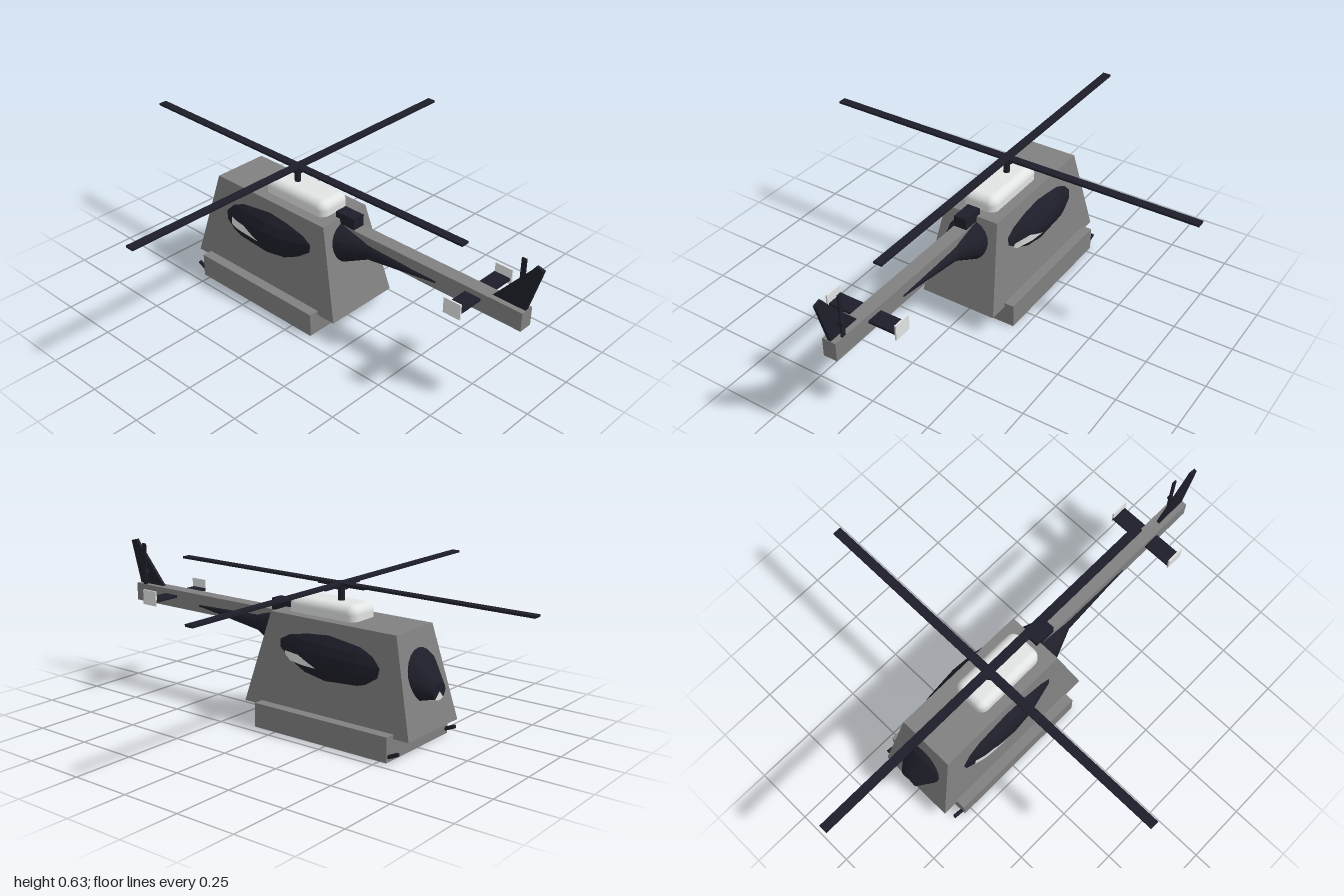
import * as THREE from 'three';
import { RoundedBoxGeometry } from 'three/addons/geometries/RoundedBoxGeometry.js';

const mat = (name, color, opts = {}) => {
  const m = new THREE.MeshStandardMaterial({ color, ...opts });
  m.name = name;
  return m;
};

// Fuselage stations from tail to nose: z, centre y, half width, half height
const STATIONS = [
  [0.57, 0.39, 0.032, 0.01], [0.24, 0.372, 0.045, 0.042], [0.12, 0.355, 0.092, 0.087],
  [0.03, 0.335, 0.137, 0.11], [-0.1, 0.315, 0.167, 0.136], [-0.2, 0.31, 0.175, 0.145],
  [-0.35, 0.305, 0.164, 0.142], [-0.45, 0.297, 0.139, 0.135], [-0.545, 0.28, 0.1, 0.1],
  [-0.62, 0.242, 0.04, 0.034],
];

function stationAt(z) {
  let i = 0;
  while (i < STATIONS.length - 2 && z < STATIONS[i + 1][0]) i++;
  const a = STATIONS[i], b = STATIONS[i + 1], t = (a[0] - z) / (a[0] - b[0]);
  return a.map((v, k) => v + (b[k] - v) * t);
}

function geometryFrom(positions) {
  const g = new THREE.BufferGeometry();
  g.setAttribute('position', new THREE.Float32BufferAttribute(positions, 3));
  g.computeVertexNormals();
  return g;
}

// Lofted skin over an angular range (degrees, 0 = model's left, 90 = up)
function loft(from, to, steps) {
  const p = [];
  const at = ([z, y, rx, ry], k) => {
    const a = THREE.MathUtils.degToRad(from + (to - from) * k / steps);
    return [rx * Math.cos(a), y + ry * Math.sin(a), z];
  };
  const last = STATIONS.length - 1;
  for (let k = 0; k < steps; k++) {
    for (let i = 0; i < last; i++) {
      const a = at(STATIONS[i], k), b = at(STATIONS[i], k + 1);
      const c = at(STATIONS[i + 1], k + 1), d = at(STATIONS[i + 1], k);
      p.push(...a, ...c, ...b, ...a, ...d, ...c);
    }
    const [tz, ty] = STATIONS[0], [nz, ny] = STATIONS[last];
    p.push(0, ty, tz, ...at(STATIONS[0], k), ...at(STATIONS[0], k + 1));
    p.push(0, ny, nz, ...at(STATIONS[last], k + 1), ...at(STATIONS[last], k));
  }
  return geometryFrom(p);
}

// Thin pale side panel following the fuselage skin
function sidePanel(side, z0, z1) {
  const p = [], n = 8;
  const at = (i, top) => {
    const t = i / n, z = z0 + (z1 - z0) * t;
    const y = top ? 0.322 - 0.036 * Math.max(0, (t - 0.5) / 0.5) : 0.284;
    const [, cy, rx, ry] = stationAt(z);
    return [side * (rx * Math.sqrt(1 - ((y - cy) / ry) ** 2) + 0.003), y, z];
  };
  for (let i = 0; i < n; i++) {
    const a = at(i, false), b = at(i + 1, false), c = at(i + 1, true), d = at(i, true);
    p.push(...a, ...b, ...c, ...a, ...c, ...d);
  }
  return geometryFrom(p);
}

// Box with independently sized bottom and top rectangles
function taperedBox(y0, y1, bottom, top) {
  const g = new THREE.BoxGeometry(1, 1, 1), pos = g.attributes.position;
  for (let i = 0; i < pos.count; i++) {
    const up = pos.getY(i) > 0, r = up ? top : bottom;
    pos.setXYZ(i, Math.sign(pos.getX(i)) * r.x, up ? y1 : y0, pos.getZ(i) > 0 ? r.z1 : r.z0);
  }
  g.computeVertexNormals();
  return g;
}

export function createModel() {
  const model = new THREE.Group();
  model.name = 'helicopter';
  const grey = mat('armour grey', 0x808080);
  const dark = mat('dark navy', 0x1e1e2a, { flatShading: true });
  const pale = mat('pale grey', 0xe2e4e4, { side: THREE.DoubleSide });

  const add = (name, geometry, material, x = 0, y = 0, z = 0) => {
    const m = new THREE.Mesh(geometry, material);
    m.name = name;
    m.position.set(x, y, z);
    model.add(m);
    return m;
  };
  const box = (name, material, w, h, d, x, y, z) =>
    add(name, new THREE.BoxGeometry(w, h, d), material, x, y, z);

  // Cabin shell, base and tail boom
  add('cabinShell', taperedBox(0.083, 0.46,
    { x: 0.168, z0: -0.6, z1: 0.19 }, { x: 0.12, z0: -0.505, z1: 0.09 }), grey);
  box('base', grey, 0.418, 0.1, 0.635, 0, 0.05, -0.2145);
  box('tailBoom', grey, 0.058, 0.077, 0.85, 0, 0.4, 0.525);

  // Rounded body bulging through the cabin walls
  add('fuselageUpper', loft(-50, 230, 18), dark);
  add('fuselageBelly', loft(230, 310, 6), pale);
  add('leftSidePanel', sidePanel(1, 0, -0.17), pale);
  add('rightSidePanel', sidePanel(-1, -0.4, -0.23), pale);

  // Engine cover and exhaust
  add('engineCover', new RoundedBoxGeometry(0.152, 0.1, 0.325, 4, 0.035), pale, 0, 0.47, -0.118);
  box('exhaust', dark, 0.055, 0.055, 0.095, 0, 0.458, 0.117);

  // Main rotor
  const rz = -0.165;
  add('rotorMast', new THREE.CylinderGeometry(0.013, 0.013, 0.09, 12), dark, 0, 0.545, rz);
  add('rotorHub', new THREE.CylinderGeometry(0.027, 0.027, 0.026, 12), dark, 0, 0.579, rz);
  box('bladeRootsAcross', dark, 0.22, 0.008, 0.016, 0, 0.578, rz);
  box('bladeRootsAlong', dark, 0.016, 0.008, 0.22, 0, 0.578, rz);
  box('bladesAcross', dark, 1.67, 0.009, 0.036, 0, 0.586, rz);
  box('bladesAlong', dark, 0.036, 0.009, 1.67, 0, 0.586, rz);

  // Swept tail fin, drawn in side profile and extruded across x
  const fin = new THREE.Shape([
    [0.945, 0.43], [0.8, 0.43], [0.86, 0.5], [0.95, 0.605], [0.968, 0.63], [1, 0.622],
  ].map(([z, y]) => new THREE.Vector2(-z, y)));
  const finGeometry = new THREE.ExtrudeGeometry(fin, { depth: 0.014, bevelEnabled: false });
  finGeometry.rotateY(Math.PI / 2).translate(-0.007, 0, 0);
  add('tailFin', finGeometry, dark);

  // Tail rotor
  box('tailRotorBlades', dark, 0.006, 0.25, 0.02, 0.024, 0.495, 0.902);
  const hub = add('tailRotorHub', new THREE.CylinderGeometry(0.011, 0.011, 0.034, 10), dark, 0.016, 0.492, 0.902);
  hub.rotation.z = Math.PI / 2;

  // Stabiliser with end plates, and skid tips at the nose
  box('stabiliser', dark, 0.3, 0.011, 0.07, 0, 0.411, 0.738);
  for (const s of [-1, 1]) {
    const label = s > 0 ? 'left' : 'right';
    box(label + 'EndPlate', pale, 0.007, 0.064, 0.075, s * 0.151, 0.422, 0.742);
    const tip = add(label + 'SkidTip', new THREE.CylinderGeometry(0.008, 0.008, 0.07, 8), dark, s * 0.195, 0.026, -0.543);
    tip.rotation.x = -1.15;
  }
  return model;
}
